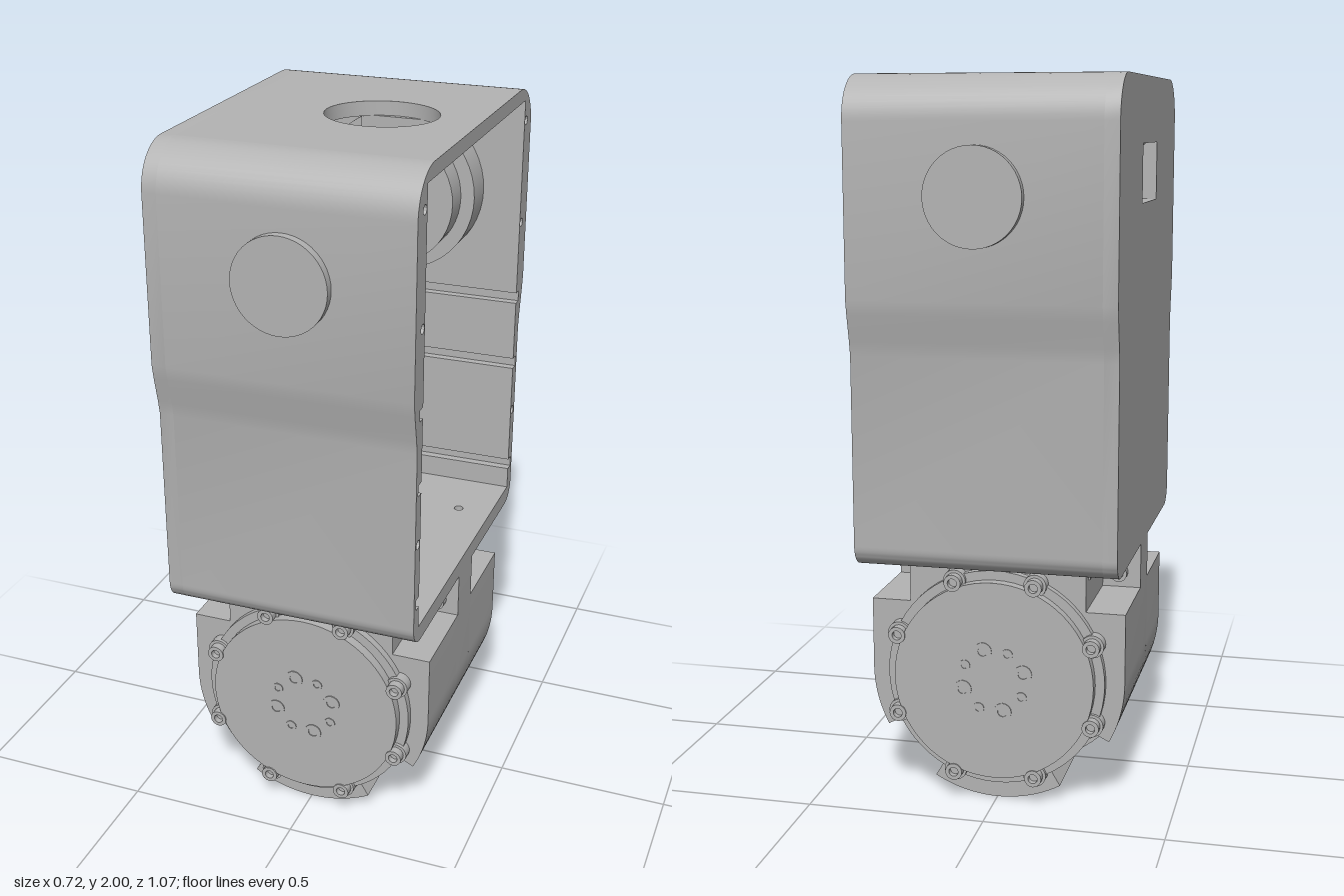
import * as THREE from 'three';
import { toCreasedNormals } from 'three/addons/utils/BufferGeometryUtils.js';

const grey = new THREE.MeshStandardMaterial({ color: 0xb3b3b3 });
grey.name = 'machined grey';

// Points along an arc, angles in degrees
function arc(cx, cy, r, a0, a1, n = 12) {
  return Array.from({ length: n + 1 }, (_, i) => {
    const a = THREE.MathUtils.degToRad(a0 + (a1 - a0) * i / n);
    return [cx + r * Math.cos(a), cy + r * Math.sin(a)];
  });
}
const vec = (pts) => pts.map(([x, y]) => new THREE.Vector2(x, y));
const rect = (x0, x1, y0, y1) => [[x0, y0], [x1, y0], [x1, y1], [x0, y1]];
const mirror = (pts) => pts.map(([x, y]) => [-x, y]);

function extrude(pts, holes, depth) {
  const shape = new THREE.Shape(vec(pts));
  holes.forEach((h) => shape.holes.push(new THREE.Path(vec(h))));
  return toCreasedNormals(new THREE.ExtrudeGeometry(shape, { depth, bevelEnabled: false }), 0.5);
}

export function createModel() {
  const model = new THREE.Group();
  const add = (parent, name, geo, x = 0, y = 0, z = 0) => {
    const mesh = new THREE.Mesh(geo, grey);
    mesh.name = name;
    mesh.position.set(x, y, z);
    parent.add(mesh);
    return mesh;
  };
  const group = (name) => {
    const g = new THREE.Group();
    g.name = name;
    model.add(g);
    return g;
  };
  // Cylinder along z between two depths
  const disc = (parent, name, r, x, y, z0, z1, n = 48) =>
    add(parent, name, new THREE.CylinderGeometry(r, r, z1 - z0, n).rotateX(Math.PI / 2), x, y, (z0 + z1) / 2);

  // ---- Upper housing, open towards +x ----
  const housing = group('upperHousing');
  const outer = [
    ...arc(0.39, 1.88, 0.12, 90, 0),
    [0.51, 1.42], [0.503, 1.38], [0.487, 1.31], [0.48, 1.27],
    ...arc(0.42, 0.75, 0.06, 0, -90),
  ];
  const notch = (y) => [[0.44, y - 0.016], [0.465, y - 0.016], [0.465, y + 0.016], [0.44, y + 0.016]];
  const wall = [
    ...outer, [0.42, 0.74], [0.44, 0.74],
    ...notch(0.82), ...notch(1.16), ...notch(1.37),
    [0.44, 1.96], [0.39, 1.96],
  ];
  const screwHoles = [1.0, 1.6, 1.9].map((y) => arc(0.457, y, 0.013, 0, 330, 11));
  const sideWall = (pts, holes) => extrude(pts, holes, 0.68).rotateY(Math.PI / 2);
  add(housing, 'sideWallBack', sideWall(wall, screwHoles), -0.32);
  add(housing, 'sideWallFront', sideWall(mirror(wall), screwHoles.map(mirror)), -0.32);

  const outline = [...outer, ...mirror(outer).reverse()];
  add(housing, 'closedWall',
    extrude(outline, [rect(-0.13, 0.13, 1.66, 1.82)], 0.04).rotateY(Math.PI / 2), -0.36);

  const port = arc(0, 0, 1, 0, 352.5, 47).map(([x, y]) => [0.088 + 0.155 * x, 0.14 * y]);
  add(housing, 'topPlate',
    extrude(rect(-0.32, 0.36, -0.39, 0.39), [port], 0.04).rotateX(-Math.PI / 2), 0, 1.96);

  const floorHoles = [rect(0.05, 0.18, -0.09, 0.09)];
  for (const x of [-0.2, 0.26]) for (const z of [-0.25, 0.25]) floorHoles.push(arc(x, z, 0.014, 0, 330, 11));
  add(housing, 'floorPlate',
    extrude(rect(-0.32, 0.36, -0.42, 0.42), floorHoles, 0.05).rotateX(-Math.PI / 2), 0, 0.69);

  // ---- Connector tray hanging below the top port ----
  const tray = group('connectorTray');
  const trayHoles = [];
  for (const x of [0.006, 0.17]) for (const z of [-0.082, 0.082]) trayHoles.push(arc(x, z, 0.011, 0, 330, 11));
  add(tray, 'trayFloor',
    extrude(rect(-0.015, 0.19, -0.15, 0.15), trayHoles, 0.015).rotateX(-Math.PI / 2), 0, 1.85);
  for (const s of [-1, 1])
    add(tray, 'traySide', new THREE.BoxGeometry(0.205, 0.1, 0.025), 0.0875, 1.911, s * 0.1375);

  // ---- Sloping hood inside the window ----
  const hood = group('windowHood');
  const slope = extrude([[-0.33, 1.82], [-0.33, 1.835], [-0.16, 1.675], [-0.16, 1.66]], [], 0.28);
  add(hood, 'hoodSlope', slope, 0, 0, -0.14);
  for (const s of [-1, 1])
    add(hood, 'hoodCheek', extrude([[-0.33, 1.66], [-0.16, 1.66], [-0.33, 1.82]], [], 0.012), 0, 0, s * 0.136 - 0.006);

  // ---- Shoulder drives: stepped discs inside, bosses outside ----
  for (const s of [1, -1]) {
    const drive = group(s > 0 ? 'frontDrive' : 'backDrive');
    disc(drive, 'driveFlange', 0.235, 0.0125, 1.69, 0.345, 0.45);
    disc(drive, 'driveCap', 0.195, 0.0125, 1.69, 0.265, 0.35);
    disc(drive, 'outerBoss', 0.13, 0.0125, 1.69, 0.5, 0.535);
    if (s < 0) drive.rotation.y = Math.PI;
    drive.children.forEach((m) => { m.position.x *= s; });
  }

  // ---- Lower motor body ----
  const body = group('motorBody');
  const full = [[0.36, 0.69], [-0.36, 0.69], ...arc(0, 0.36, 0.36, 180, 360, 48)];
  add(body, 'middleBody', extrude(full, [], 0.13), 0, 0, -0.065);

  // Side sections with pockets at the four screw corners
  const half = [
    [0.25, 0.69], [0.25, 0.56], [0.36, 0.56],
    ...arc(0, 0.36, 0.36, 0, -28, 10),
    [0.26, 0.22], [0.147, 0.104],
    ...arc(0, 0.36, 0.36, -60, -90, 10),
  ];
  const sideProfile = [...half, ...mirror(half).reverse().slice(1)];
  for (const s of [1, -1]) {
    add(body, 'sideBody', extrude(sideProfile, [], 0.265), 0, 0, s > 0 ? 0.065 : -0.33);
    for (const x of [-0.251, 0.251]) for (const z of [0.12, 0.27])
      add(body, 'pocketSlot', new THREE.BoxGeometry(0.008, 0.026, 0.045), x, 0.655, s * z);

    const face = group(s > 0 ? 'frontMotorFace' : 'backMotorFace');
    disc(face, 'mountRing', 0.308, 0, 0.36, 0.32, 0.352, 64);
    disc(face, 'coverDisc', 0.282, 0, 0.36, 0.35, 0.382, 64);
    for (const r of [0.15, 0.185])
      add(face, 'coverRing', new THREE.RingGeometry(r - 0.003, r + 0.003, 48), 0, 0.36, 0.384);
    // Rim screws
    for (let i = 0; i < 8; i++) {
      const a = (i + 0.5) * Math.PI / 4;
      const x = 0.297 * Math.cos(a), y = 0.36 + 0.297 * Math.sin(a);
      disc(face, 'screwTab', 0.032, x, y, 0.32, 0.362, 20);
      add(face, 'rimScrew', socket(0.024, 0.025), x, y, 0.361);
    }
    // Hub bolt circle, alternating large and small
    for (let i = 0; i < 8; i++) {
      const a = (i + 0.4) * Math.PI / 4;
      add(face, 'hubBolt', socket(i % 2 ? 0.016 : 0.025, 0.004),
        0.09 * Math.cos(a), 0.36 + 0.09 * Math.sin(a), 0.381);
    }
    // Corner fixing screws seated on the middle section
    for (const [x, y] of [[0.3, 0.605], [0.213, 0.12]])
      for (const k of [-1, 1]) add(face, 'cornerScrew', socket(0.024, 0.03), k * x, y, 0.062);
    if (s < 0) face.rotation.y = Math.PI;
  }
  return model;
}

// Round screw head with a recessed socket, facing +z
function socket(r, h) {
  const pts = vec([[0, h * 0.3], [r * 0.55, h * 0.3], [r * 0.55, h], [r, h], [r, 0]]).reverse();
  return toCreasedNormals(new THREE.LatheGeometry(pts, 16).rotateX(Math.PI / 2), 0.5);
}
